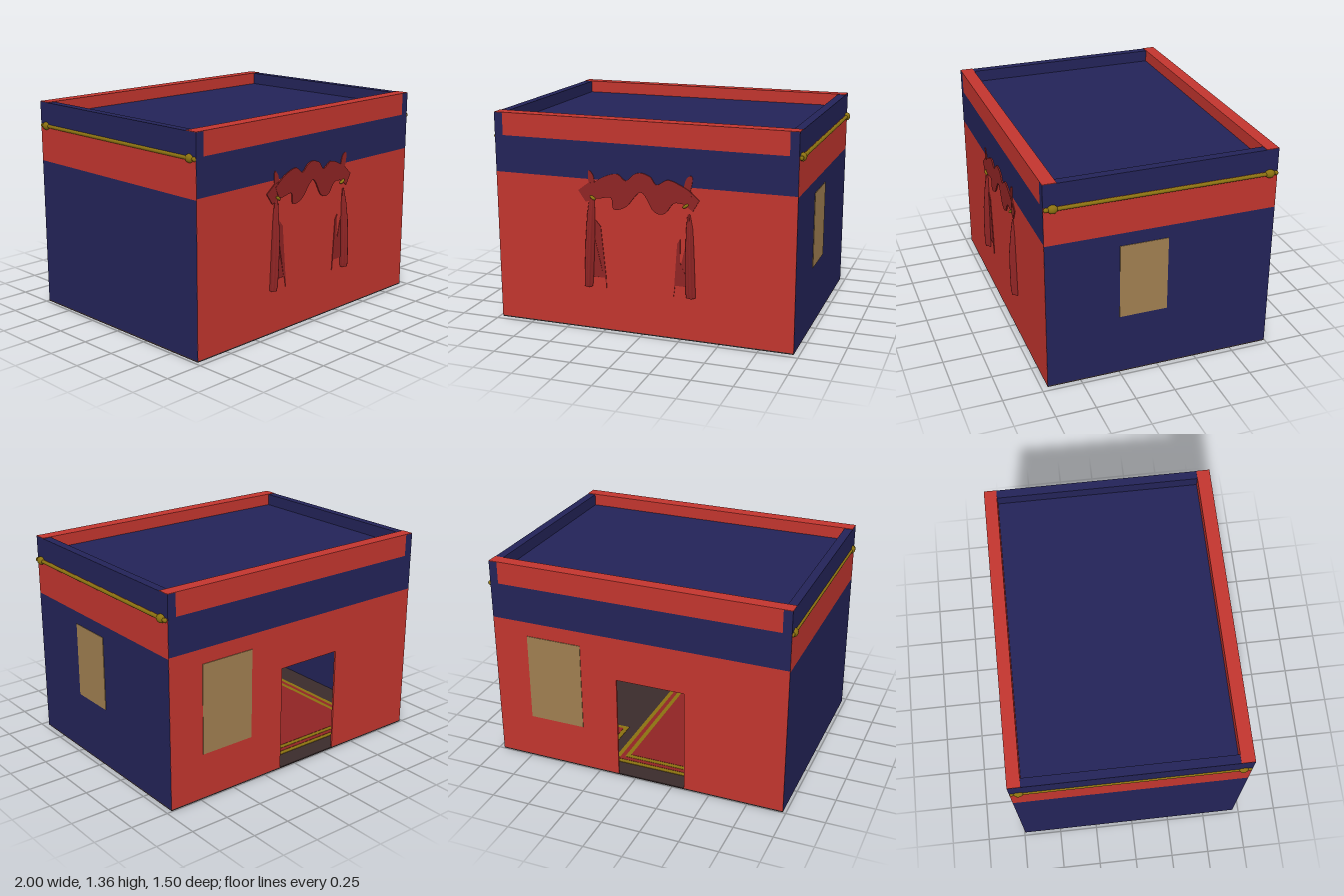
import * as THREE from 'three';

const mat = (name, color, side = THREE.FrontSide) => {
  const m = new THREE.MeshStandardMaterial({ color, side });
  m.name = name;
  return m;
};

export function createModel() {
  const red = mat('wall red', 0xc2352e);
  const blue = mat('navy blue', 0x232358);
  const gold = mat('old gold', 0x8a7010);
  const tan = mat('window tan', 0xa07f50);
  const cloth = mat('curtain red', 0x8f2424, THREE.DoubleSide);
  const dark = mat('floor brown', 0x3a2b2b);

  const model = new THREE.Group();
  const add = (name, geometry, material, parent = model) => {
    const mesh = new THREE.Mesh(geometry, material);
    mesh.name = name;
    parent.add(mesh);
    return mesh;
  };
  // Box given by its limits on each axis
  const block = (name, material, x0, x1, y0, y1, z0, z1) => {
    const mesh = add(name, new THREE.BoxGeometry(x1 - x0, y1 - y0, z1 - z0), material);
    mesh.position.set((x0 + x1) / 2, (y0 + y1) / 2, (z0 + z1) / 2);
    return mesh;
  };

  const L = -0.98, R = 0.965, B = -0.745, F = 0.71, T = 0.012;
  const bandY = 0.975, trimY = 1.21, topY = 1.355;

  // Floor and sunken roof
  block('floor', dark, L, R, 0, 0.008, B, F);
  block('roof', blue, L + 0.02, R - 0.02, 1.255, 1.275, B + 0.02, F - 0.02);

  // Front wall
  block('frontWall', red, L, R, 0.008, bandY, F - T, F);
  block('frontBand', blue, L, R, bandY, trimY, F - T, F);

  // Back wall with doorway
  const back = new THREE.Shape([[L, 0.008], [-0.33, 0.008], [-0.33, 0.69], [0.12, 0.69], [0.12, 0.008], [R, 0.008], [R, bandY], [L, bandY]]
    .map(p => new THREE.Vector2(...p)));
  add('backWall', new THREE.ExtrudeGeometry(back, { depth: T, bevelEnabled: false }), red).position.z = B;
  block('backBand', blue, L, R, bandY, trimY, B, B + T);

  // Side walls, bands and parapets
  for (const [side, x0, x1, p0, p1] of [['right', L, L + T, L, L + 0.055], ['left', R - T, R, R - 0.055, R]]) {
    block(side + 'Wall', blue, x0 - 0.0005, x1 + 0.0005, 0.008, 0.967, B + 0.0005, F - 0.0005);
    block(side + 'Band', red, x0 - 0.0005, x1 + 0.0005, 0.967, trimY, B + 0.0005, F - 0.0005);
    block(side + 'Parapet', blue, p0, p1, trimY, topY - 0.003, B, F);
  }

  // Front and back parapets with full-width caps
  for (const [side, z0, z1] of [['front', F - 0.085, F], ['back', B, B + 0.08]]) {
    block(side + 'Parapet', red, L + 0.055, R - 0.055, trimY, topY - 0.003, z0, z1);
    block(side + 'ParapetCap', red, L, R, topY - 0.003, topY, z0, z1);
  }

  // Windows
  block('sideWindow', tan, R, R + 0.004, 0.4, 0.885, -0.055, 0.25);
  block('backWindow', tan, 0.362, 0.73, 0.3, 0.88, B - 0.004, B);

  // Curtain rails along both sides
  for (const [side, x] of [['right', -0.978], ['left', 0.974]]) {
    const rail = new THREE.Group();
    rail.name = side + 'Rail';
    rail.position.set(x, 1.2, 0);
    model.add(rail);
    const rod = add('rod', new THREE.CylinderGeometry(0.012, 0.012, 1.42, 12), gold, rail);
    rod.rotation.x = Math.PI / 2;
    rod.position.z = -0.018;
    for (const z of [0.655, -0.69]) {
      const knob = add('knob', new THREE.SphereGeometry(0.026, 16, 12), gold, rail);
      knob.scale.set(0.88, 1, 1.2);
      knob.position.z = z;
    }
    for (const z of [0.695, -0.73]) {
      add('finial', new THREE.SphereGeometry(0.014, 12, 8), gold, rail).position.z = z;
    }
  }

  // Pleated hanging cloth: rows are [y, centre x, centre z, half width, half depth]
  const drape = (name, rows, pleats) => {
    const geo = new THREE.CylinderGeometry(1, 1, 1, 32, rows.length - 1, false);
    const pos = geo.attributes.position;
    for (let i = 0; i < pos.count; i++) {
      const [y, cx, cz, w, d] = rows[Math.round((0.5 - pos.getY(i)) * (rows.length - 1))];
      const a = Math.atan2(pos.getZ(i), pos.getX(i));
      const r = Math.hypot(pos.getX(i), pos.getZ(i)) * (1 + 0.12 * Math.cos(a * pleats));
      pos.setXYZ(i, cx + Math.cos(a) * r * w, y, cz + Math.sin(a) * r * d);
    }
    geo.computeVertexNormals();
    return add(name, geo, cloth);
  };
  // Flat cloth panel just proud of the front wall
  const panel = (name, points, depth, smooth) => {
    const v = points.map(p => new THREE.Vector2(...p));
    const shape = new THREE.Shape();
    if (smooth) {
      shape.moveTo(v[0].x, v[0].y);
      shape.splineThru([...v.slice(1), v[0]]);
    } else shape.setFromPoints(v);
    const mesh = add(name, new THREE.ExtrudeGeometry(shape, { depth, bevelEnabled: false }), cloth);
    mesh.position.z = F - 0.002;
    return mesh;
  };

  // Front drapes
  drape('rightDrape', [[0.86, -0.327, 0.708, 0.016, 0.008], [0.75, -0.334, 0.711, 0.023, 0.02], [0.6, -0.34, 0.714, 0.026, 0.03],
    [0.45, -0.347, 0.716, 0.026, 0.031], [0.32, -0.354, 0.716, 0.025, 0.03], [0.285, -0.356, 0.716, 0.023, 0.024]], 5);
  drape('leftDrape', [[0.81, 0.303, 0.708, 0.008, 0.008], [0.72, 0.308, 0.711, 0.019, 0.02], [0.6, 0.311, 0.714, 0.023, 0.03],
    [0.45, 0.314, 0.716, 0.026, 0.031], [0.32, 0.317, 0.716, 0.028, 0.03], [0.285, 0.319, 0.716, 0.026, 0.024]], 5);
  panel('rightInnerFold', [[-0.33, 0.35], [-0.256, 0.35], [-0.31, 0.63], [-0.305, 0.72], [-0.27, 0.68], [-0.24, 0.36], [-0.237, 0.28], [-0.248, 0.35], [-0.33, 0.345]], 0.006);
  panel('rightFoldPleat', [[-0.33, 0.35], [-0.256, 0.35], [-0.315, 0.62]], 0.005);
  panel('leftInnerFold', [[0.207, 0.28], [0.216, 0.35], [0.295, 0.35], [0.295, 0.4], [0.248, 0.5], [0.25, 0.65], [0.23, 0.62], [0.212, 0.36]], 0.006);
  panel('leftFoldPleat', [[0.222, 0.35], [0.295, 0.35], [0.285, 0.62]], 0.005);

  // Swag with gathered scallops and its end bows
  panel('swag', [[-0.34, 0.93], [-0.26, 0.99], [-0.16, 1.022], [-0.1, 0.985], [-0.05, 1.025], [0, 1.04], [0.06, 1.02], [0.1, 0.975],
    [0.17, 1.01], [0.25, 0.985], [0.32, 0.94], [0.29, 0.875], [0.21, 0.87], [0.15, 0.8], [0.08, 0.81], [0, 0.92],
    [-0.1, 0.82], [-0.18, 0.8], [-0.2, 0.87], [-0.3, 0.86]], 0.01, true);
  panel('rightBow', [[-0.415, 0.9], [-0.365, 0.83], [-0.29, 0.86], [-0.3, 0.96], [-0.35, 0.95]], 0.008);
  panel('leftBow', [[0.37, 0.9], [0.33, 0.83], [0.27, 0.87], [0.27, 0.96], [0.31, 0.955]], 0.008);
  panel('rightBowTip', [[-0.345, 0.94], [-0.31, 0.95], [-0.315, 1.0], [-0.34, 1.03], [-0.348, 1.01]], 0.006, true);
  panel('leftBowTip', [[0.27, 0.96], [0.31, 0.95], [0.327, 1.03], [0.31, 1.045], [0.285, 1.02]], 0.006, true);

  // Gold tiebacks
  for (const [name, x, tilt] of [['rightTieback', -0.318, -0.6], ['leftTieback', 0.285, 0.6]]) {
    const tie = add(name, new THREE.SphereGeometry(0.022, 12, 8), gold);
    tie.scale.set(1, 0.45, 0.6);
    tie.rotation.z = tilt;
    tie.position.set(x, 0.86, F + 0.007);
  }

  // Curtain hanging inside against the side wall
  drape('insideCurtain', [[1.21, -0.93, 0.38, 0.02, 0.03], [1, -0.925, 0.42, 0.03, 0.09], [0.6, -0.92, 0.43, 0.035, 0.12],
    [0.1, -0.92, 0.43, 0.035, 0.13]], 7);

  // Rugs with double gold borders
  const rug = (name, x0, x1, z0, z1) => [gold, cloth, gold, cloth].forEach((m, i) => {
    const s = i * 0.03;
    block(name + (i % 2 ? 'Field' : 'Border'), m, x0 + s, x1 - s, 0.008, 0.011 + i * 0.002, z0 + s, z1 - s);
  });
  rug('mainRug', -0.8, 0.22, -0.62, 0.55);
  rug('sideRug', 0.29, 0.85, -0.62, -0.21);

  return model;
}
